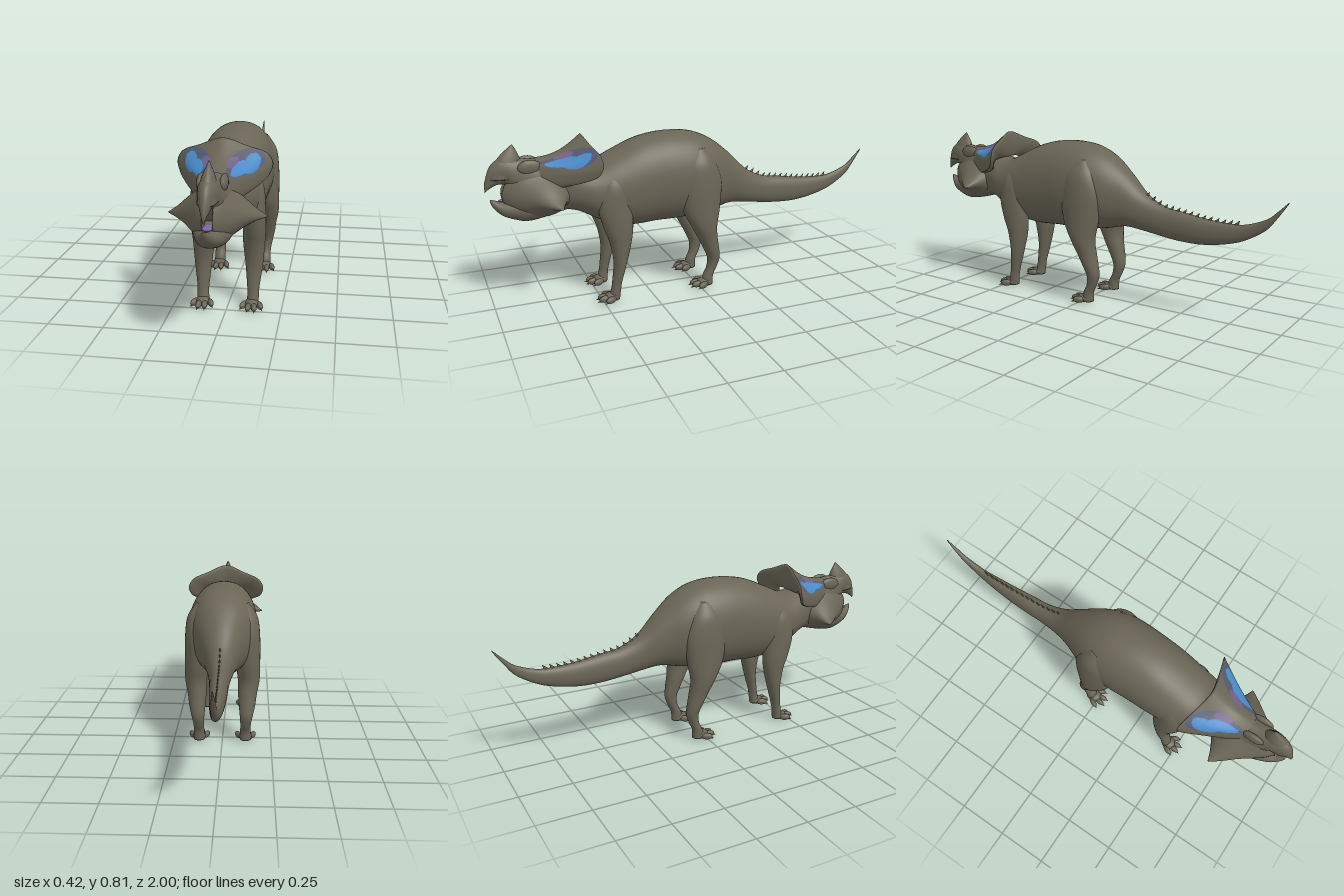
import * as THREE from 'three';

const mat = (name, color) => {
  const m = new THREE.MeshStandardMaterial({ color });
  m.name = name;
  return m;
};
const hide = mat('olive hide', 0x6a6556);
const blue = mat('frill blue', 0x4a8ac8);
const halo = mat('frill slate', 0x535a70);
const purple = mat('frill purple', 0x70608a);
const tongueMat = mat('tongue violet', 0x7a66a4);

// Catmull-Rom blend of whole rows
function sampleRows(rows, s) {
  const i = Math.min(Math.floor(s), rows.length - 2), t = s - i;
  const at = k => rows[Math.max(0, Math.min(rows.length - 1, k))];
  const [p, q, r, w] = [at(i - 1), at(i), at(i + 1), at(i + 2)];
  return q.map((v, k) => v + 0.5 * t * (r[k] - p[k] + t * (2 * p[k] - 5 * v + 4 * r[k] - w[k]
    + t * (3 * (v - r[k]) + w[k] - p[k]))));
}

// Loft of rounded rings along an axis. Rows ascend: [t, a0, a1, b0, b1],
// where a, b are the next two axes in cyclic order (z: x,y  x: y,z  y: z,x).
function loft(axis, rows, { n = 32, steps = 6, power = 1 } = {}) {
  const ax = 'xyz'.indexOf(axis), pos = [], idx = [];
  const count = (rows.length - 1) * steps;
  const bend = v => Math.sign(v) * Math.abs(v) ** power;
  const put = (t, a, b) => {
    const p = [0, 0, 0];
    p[ax] = t; p[(ax + 1) % 3] = a; p[(ax + 2) % 3] = b;
    pos.push(...p);
  };
  for (let i = 0; i <= count; i++) {
    const [t, a0, a1, b0, b1] = sampleRows(rows, i / steps);
    for (let j = 0; j < n; j++) {
      const f = j / n * Math.PI * 2;
      put(t, (a0 + a1) / 2 + (a1 - a0) / 2 * bend(Math.cos(f)), (b0 + b1) / 2 + (b1 - b0) / 2 * bend(Math.sin(f)));
    }
  }
  for (let i = 0; i < count; i++) for (let j = 0; j < n; j++) {
    const a = i * n + j, b = i * n + (j + 1) % n;
    idx.push(a, b, a + n, b, b + n, a + n);
  }
  // end caps
  for (const [row, start, flip] of [[rows[0], 0, true], [rows[rows.length - 1], count * n, false]]) {
    const c = pos.length / 3;
    put(row[0], (row[1] + row[2]) / 2, (row[3] + row[4]) / 2);
    for (let j = 0; j < n; j++) {
      const a = start + j, b = start + (j + 1) % n;
      idx.push(c, ...(flip ? [b, a] : [a, b]));
    }
  }
  return build(pos, idx);
}

function build(pos, idx) {
  const g = new THREE.BufferGeometry();
  g.setAttribute('position', new THREE.Float32BufferAttribute(pos, 3));
  g.setIndex(idx);
  g.computeVertexNormals();
  return g;
}

// Symmetric rows [z, bottom, top, halfWidth]
const spine = (rows, opt) => loft('z', rows.map(([z, lo, hi, w]) => [z, -w, w, lo, hi]), opt);

function mirrored(geo) {
  const g = geo.clone().scale(-1, 1, 1), ix = g.index.array;
  for (let i = 0; i < ix.length; i += 3) [ix[i], ix[i + 1]] = [ix[i + 1], ix[i]];
  g.computeVertexNormals();
  return g;
}

function ball(x, y, z, rx, ry, rz) {
  return new THREE.SphereGeometry(1, 20, 14).scale(rx, ry, rz).translate(x, y, z);
}

// Frill: inner skull ring -> flared rim -> neck ring, coloured by region
function frillGeometry() {
  const curve = half => new THREE.CatmullRomCurve3(
    [...half.slice(1).reverse().map(([x, y, z]) => [-x, y, z]), ...half].map(p => new THREE.Vector3(...p)));
  const inner = curve([[0, .72, .77], [.03, .715, .77], [.05, .70, .765], [.06, .675, .76],
    [.065, .65, .76], [.065, .62, .76], [.06, .59, .76]]);
  const rim = curve([[0, .815, .55], [.1, .78, .53], [.185, .743, .505], [.208, .70, .50],
    [.195, .655, .52], [.16, .625, .575], [.1, .595, .67]]);
  const neck = curve([[0, .68, .56], [.05, .68, .56], [.09, .67, .57], [.1, .65, .58],
    [.095, .63, .59], [.08, .61, .61], [.06, .59, .65]]);
  const U = 180, F = 44, B = 14, pos = [], sets = [[], [], [], []];
  for (let v = 0; v <= F + B; v++) for (let u = 0; u <= U; u++) {
    const r = rim.getPoint(u / U), front = v <= F;
    const k = front ? v / F : (v - F) / B;
    const p = front ? inner.getPoint(u / U).lerp(r, k) : r.lerp(neck.getPoint(u / U), k);
    const swell = Math.sin(Math.PI * k);
    if (front) p.y -= 0.025 * swell * Math.sin(Math.PI * u / U);
    else p.z -= 0.012 * Math.sqrt(Math.abs(swell));
    pos.push(p.x, p.y, p.z);
  }
  const inside = (x, y, cx, cy, rx, ry) => ((x - cx) / rx) ** 2 + ((y - cy) / ry) ** 2 < 1;
  const region = tri => {
    const x = Math.abs(tri.reduce((s, i) => s + pos[i * 3], 0) / 3);
    const y = tri.reduce((s, i) => s + pos[i * 3 + 1], 0) / 3;
    if (inside(x, y, .055, .733, .021, .016)) return 3;
    if (inside(x, y, .13, .718, .031, .034) || inside(x, y, .092, .711, .033, .022)) return 1;
    return inside(x, y, .108, .728, .07, .042) ? 2 : 0;
  };
  for (let v = 0; v < F + B; v++) for (let u = 0; u < U; u++) {
    const a = v * (U + 1) + u, c = a + U + 1;
    for (const tri of [[a, a + 1, c], [a + 1, c + 1, c]]) sets[v < F ? region(tri) : 0].push(...tri);
  }
  const g = build(pos, sets.flat());
  let start = 0;
  sets.forEach((s, i) => { g.addGroup(start, s.length, i); start += s.length; });
  return g;
}

export function createModel() {
  const model = new THREE.Group();
  const add = (name, geo, material = hide) => {
    const m = new THREE.Mesh(geo, material);
    m.name = name;
    model.add(m);
    return m;
  };
  const pair = (name, geo) => {
    add('left' + name, geo);
    add('right' + name, mirrored(geo));
  };

  // Trunk and tail
  const trunk = [
    [-1, .598, .604, .002], [-.95, .525, .555, .009], [-.9, .465, .515, .013], [-.8, .405, .48, .02],
    [-.7, .375, .477, .029], [-.6, .36, .485, .036], [-.5, .36, .50, .041], [-.4, .37, .515, .046],
    [-.3, .385, .565, .062], [-.2, .395, .66, .095], [-.1, .375, .74, .14], [0, .36, .783, .168],
    [.1, .355, .795, .174], [.2, .355, .79, .17], [.3, .35, .768, .167], [.4, .36, .725, .16],
    [.5, .405, .68, .146], [.58, .45, .675, .125], [.66, .47, .68, .09]];
  add('bodyAndTail', spine(trunk, { n: 48, power: .92 }));

  // Small spines along the tail
  for (let i = 0; i < 15; i++) {
    const z = -.31 - i * .033;
    const k = trunk.findIndex(r => r[0] > z), [a, b] = [trunk[k - 1], trunk[k]];
    const y = a[2] + (b[2] - a[2]) * (z - a[0]) / (b[0] - a[0]);
    add('tailSpine', new THREE.ConeGeometry(.012, .034, 8).scale(.5, 1, 1).rotateX(-.6).translate(0, y + .004, z));
  }

  // Head: upper skull with beak, lower jaw, tongue
  add('skull', spine([
    [.5, .45, .66, .11], [.62, .46, .70, .1], [.72, .47, .715, .08], [.8, .5, .72, .068],
    [.86, .55, .73, .052], [.9, .605, .735, .043], [.94, .612, .725, .033], [.975, .598, .69, .02], [1, .58, .62, .004]]));
  add('lowerJaw', spine([
    [.58, .47, .6, .08], [.66, .46, .59, .09], [.74, .44, .575, .09], [.82, .428, .56, .08],
    [.88, .442, .54, .062], [.93, .465, .53, .043], [.965, .50, .54, .02], [.98, .53, .545, .005]]));
  add('tongue', ball(0, .535, .905, .024, .006, .04), tongueMat);

  // Nose horn
  add('noseHorn', loft('y', [
    [.64, .82, .985, -.04, .04], [.69, .825, .962, -.037, .037], [.73, .835, .935, -.027, .027],
    [.76, .847, .905, -.015, .015], [.79, .863, .868, -.002, .002]]));

  // Cheek horns, brows
  pair('CheekHorn', loft('x', [
    [.02, .445, .68, .6, .93], [.05, .45, .665, .61, .9], [.08, .465, .635, .625, .86], [.12, .492, .6, .65, .805],
    [.16, .511, .562, .67, .757], [.19, .518, .538, .682, .718], [.206, .521, .527, .687, .695]]));
  pair('Brow', ball(.046, .69, .8, .017, .034, .055).rotateX(0));

  // Frill
  add('frill', frillGeometry(), [hide, blue, halo, purple]);

  // Legs
  pair('FrontLeg', loft('y', [
    [.012, .42, .475, .085, .143], [.06, .414, .462, .09, .143], [.1, .407, .455, .088, .145], [.2, .38, .445, .078, .158],
    [.3, .355, .46, .067, .166], [.38, .345, .488, .066, .171], [.48, .35, .51, .07, .17], [.58, .37, .49, .07, .16],
    [.65, .41, .45, .09, .12]]));
  pair('HindLeg', loft('y', [
    [.012, -.07, -.005, .09, .148], [.06, -.072, -.02, .092, .146], [.1, -.09, -.038, .093, .146], [.15, -.105, -.042, .09, .155],
    [.2, -.1, -.022, .085, .166], [.26, -.09, .008, .08, .175], [.33, -.084, .045, .078, .188], [.42, -.1, .09, .065, .19],
    [.55, -.11, .11, .05, .188], [.65, -.08, .085, .05, .174], [.72, -.03, .03, .08, .13]]));

  // Feet with splayed toes and claws
  for (const [name, cx, cz] of [['Front', .114, .45], ['Hind', .119, -.03]]) {
    pair(name + 'Foot', ball(cx, .025, cz + .008, .034, .022, .04));
    for (const [dx, dz, turn] of [[-.036, .022, -.45], [-.013, .046, -.12], [.013, .046, .12], [.036, .022, .45]]) {
      const toe = (g, y, d) => g.rotateY(turn).translate(cx + dx + Math.sin(turn) * d, y, cz + dz + Math.cos(turn) * d);
      pair(name + 'Toe', toe(ball(0, 0, 0, .0135, .017, .03), .022, 0));
      pair(name + 'Claw', toe(new THREE.ConeGeometry(.009, .03, 10).rotateX(Math.PI / 2 + .25), .014, .025));
    }
  }
  return model;
}
